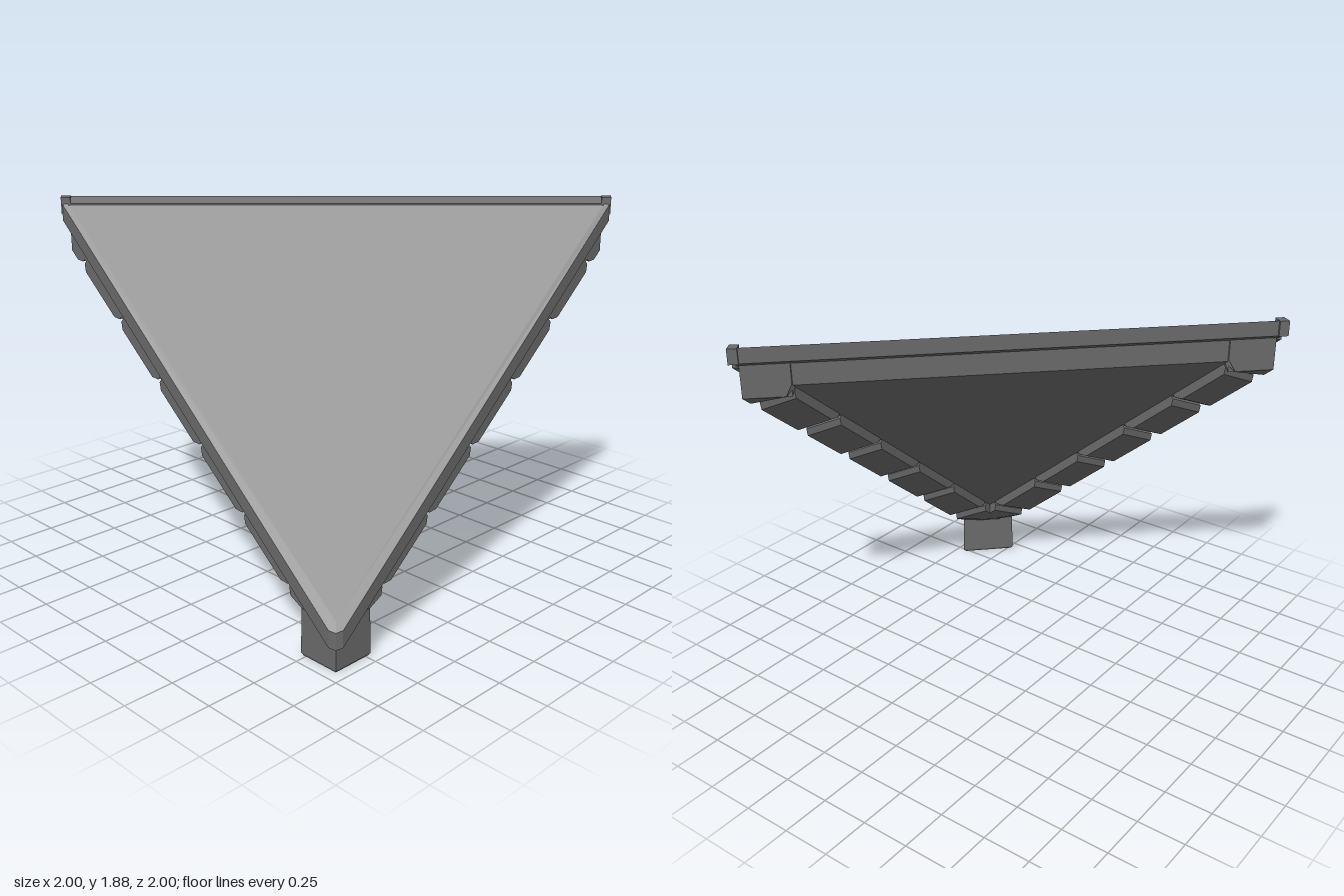
import * as THREE from 'three';

// Height of the sloping roof plane, which drops towards the +x +z corner.
const SLOPE = 0.842, TOP = 1.88;
const roof = (x, z) => 1.87 - SLOPE * (x + z);
// Point lying a vertical distance d under the roof plane.
const under = (x, z, d) => [x, Math.min(TOP - d, roof(x, z) - d), z];
const swap = ([x, y, z]) => [z, y, x];

// Solid skinned over a list of equal-length rings, capped at both ends, faces turned outwards.
function loft(rings) {
  const n = rings[0].length, tris = [];
  for (let r = 0; r + 1 < rings.length; r++) {
    const a = rings[r], b = rings[r + 1];
    for (let i = 0; i < n; i++) {
      const j = (i + 1) % n;
      tris.push([a[i], a[j], b[j]], [a[i], b[j], b[i]]);
    }
  }
  const first = rings[0], last = rings[rings.length - 1];
  for (let i = 1; i + 1 < n; i++) {
    tris.push([first[0], first[i + 1], first[i]], [last[0], last[i], last[i + 1]]);
  }
  const c = new THREE.Vector3(...first[0]);
  let volume = 0;
  for (const t of tris) {
    const [p, q, s] = t.map((v) => new THREE.Vector3(...v).sub(c));
    volume += p.dot(q.cross(s));
  }
  if (volume < 0) tris.forEach((t) => t.reverse());
  const geometry = new THREE.BufferGeometry();
  geometry.setAttribute('position', new THREE.Float32BufferAttribute(tris.flat(2), 3));
  geometry.computeVertexNormals();
  return geometry;
}

export function createModel() {
  const group = new THREE.Group();
  const stone = new THREE.MeshStandardMaterial({ color: 0x6a6a6a });
  stone.name = 'grey stone';

  const add = (name, rings) => {
    const mesh = new THREE.Mesh(loft(rings), stone);
    mesh.name = name;
    group.add(mesh);
  };
  const addPair = (name, rings) => {
    add(name + 'Front', rings);
    add(name + 'Side', rings.map((ring) => ring.map(swap)));
  };
  // Plate with a given footprint between two depths under the roof plane
  const plate = (footprint, d0, d1) =>
    [d0, d1].map((d) => footprint.map(([x, z]) => under(x, z, d)));
  const level = (footprint, y) => footprint.map(([x, z]) => [x, y, z]);

  // Sloping panel and the thick body under it
  add('panel', plate([[-0.93, 0.955], [0.955, 0.955], [0.955, -0.93]], 0.008, 0.08));
  add('panelBody', plate([[-0.935, 0.94], [0.94, 0.94], [0.94, -0.935]], 0.07, 0.2));

  // Rim around the panel
  addPair('rim', plate(
    [[-0.95, 0.975], [0.95, 0.995], [0.978, 0.978], [0.955, 0.955], [-0.93, 0.955]], 0, 0.085));
  add('rimRidge', plate([[-0.975, 0.935], [0.935, -0.975], [0.955, -0.93], [-0.93, 0.955]], 0, 0.08));

  // Square tips at the two upper corners
  const tip = [[-1, 0.945], [-0.95, 0.98], [-0.92, 0.945], [-0.965, 0.91]];
  addPair('rimTip', [level(tip, 1.8), level(tip, TOP)]);

  // Stone blocks under the two sloping edges
  const OUT = 0.94, IN = 0.77, D = 0.26, BEVEL = 0.035;
  // Cross-section square to the slope, at x along the lower edge; inset shrinks its lower side
  const section = (x, inset) =>
    [[OUT, 0.07], [OUT, D - inset], [IN, D - inset], [IN, 0.07]].map(([z, d]) => {
      const px = Math.min(OUT, x + 0.55 * (D - d + SLOPE * (OUT - z)));
      const [, y] = under(px, z, d);
      return [px, Math.max(0.2, y), z];
    });
  const grooves = [-0.86, -0.57, -0.28, 0.02, 0.32, 0.62];
  grooves.forEach((x, i) => {
    const end = i + 1 < grooves.length ? grooves[i + 1] : 0.82;
    addPair('block' + (i + 1), [
      section(x + 0.006, BEVEL), section(x + 0.032, 0),
      section(end - 0.032, 0), section(end - 0.006, BEVEL),
    ]);
  });
  // End blocks, cut off along the diagonal
  const cut = [[OUT, 0.07], [OUT, D], [IN, D], [IN, 0.07]].map(([z, d]) => under(-z, z, d));
  addPair('endBlock', [cut, section(-0.892, 0), section(-0.866, BEVEL)]);

  // Three-sided foot at the lower corner
  const foot = (c, s) => [[c - s, c], [c, c], [c, c - s]];
  add('foot', [
    level(foot(0.94, 0.205), 0), level(foot(0.945, 0.222), 0.012), level(foot(0.945, 0.215), 0.235),
  ]);

  return group;
}
